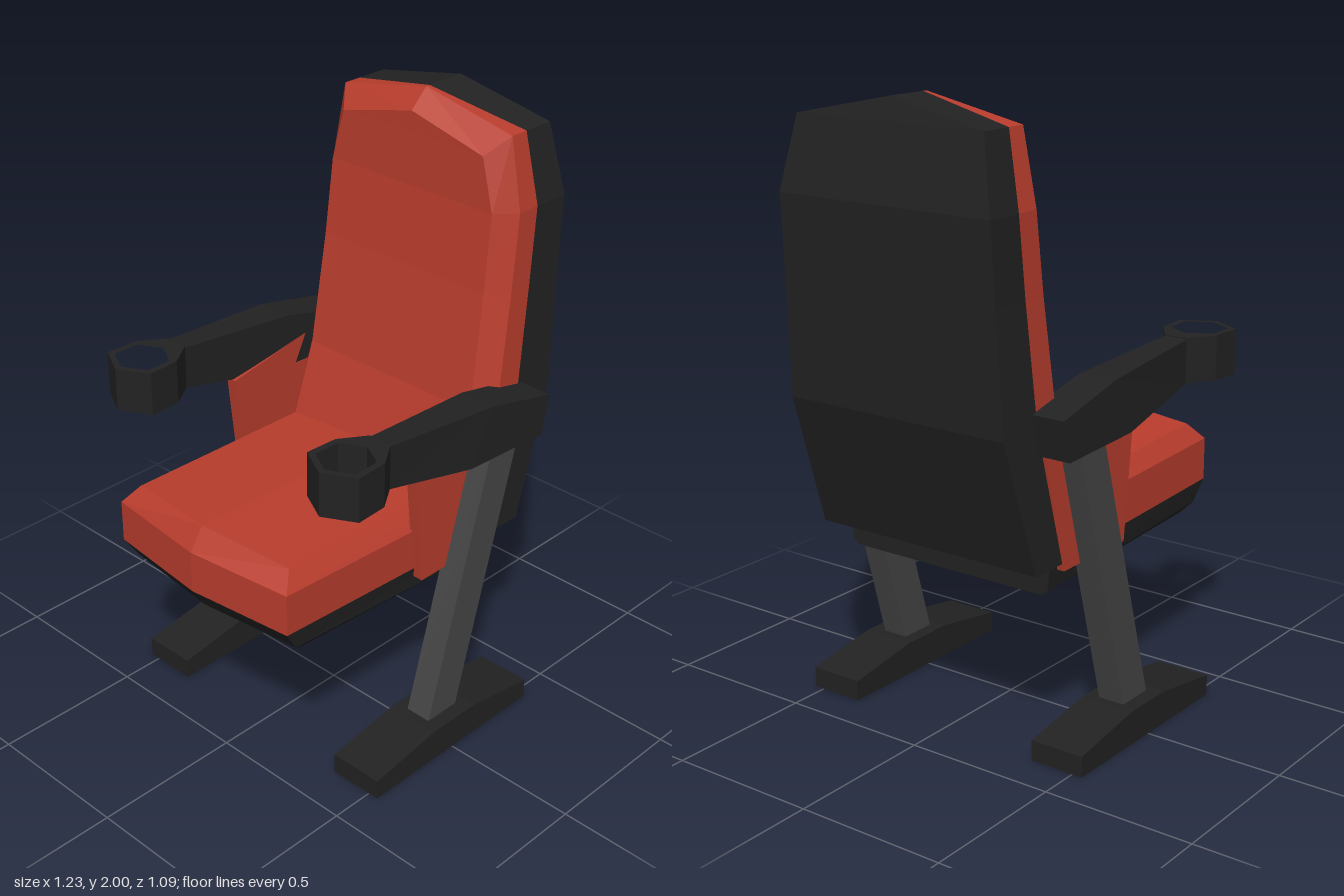
import * as THREE from 'three';

const mat = (name, color) => {
  const m = new THREE.MeshStandardMaterial({ color });
  m.name = name;
  return m;
};

// Skin a list of equal-length rings [[x,y,z],...]; ends are capped in strips
function loft(rings) {
  const n = rings[0].length, tris = [];
  const quad = (a, b, c, d) => tris.push([a, b, c], [a, c, d]);
  for (let j = 0; j < rings.length - 1; j++) {
    for (let i = 0; i < n; i++) {
      const k = (i + 1) % n;
      quad(rings[j][i], rings[j][k], rings[j + 1][k], rings[j + 1][i]);
    }
  }
  const first = rings[0], last = rings[rings.length - 1];
  for (let i = 0; i < n / 2 - 1; i++) {
    quad(first[n - 1 - i], first[n - 2 - i], first[i + 1], first[i]);
    quad(last[i], last[i + 1], last[n - 2 - i], last[n - 1 - i]);
  }
  // turn the faces outward whichever way the rings run
  let volume = 0;
  for (const [a, b, c] of tris) {
    volume += a[0] * (b[1] * c[2] - b[2] * c[1]) + a[1] * (b[2] * c[0] - b[0] * c[2])
      + a[2] * (b[0] * c[1] - b[1] * c[0]);
  }
  if (volume < 0) tris.forEach((t) => t.reverse());
  const g = new THREE.BufferGeometry();
  g.setAttribute('position', new THREE.Float32BufferAttribute(tris.flat(2), 3));
  g.computeVertexNormals();
  return g;
}

// Complete a half ring on +z with its mirror image
const mirrored = (half) => [...half, ...half.map(([x, y, z]) => [x, y, -z]).reverse()];

// Side profile in x,y extruded from z0 to z1
function slab(points, z0, z1) {
  const shape = new THREE.Shape(points.map(([x, y]) => new THREE.Vector2(x, y)));
  const g = new THREE.ExtrudeGeometry(shape, { depth: z1 - z0, bevelEnabled: false });
  return g.translate(0, 0, z0);
}

export function createModel() {
  const red = mat('red upholstery', 0xb93d2d);
  const black = mat('black plastic', 0x222222);
  const grey = mat('grey metal', 0x464646);
  [red, black, grey].forEach((m) => { m.flatShading = true; });

  const model = new THREE.Group();
  model.name = 'auditoriumChair';
  const add = (name, geometry, material, parent = model) => {
    const mesh = new THREE.Mesh(geometry, material);
    mesh.name = name;
    parent.add(mesh);
  };

  // Seat: horizontal rings with a slightly pointed front edge
  const seatRing = (front, back, inset, yFront, yBack, rise = 0) => mirrored([
    [front, yFront + rise, 0],
    [front + 0.04, yFront, 0.37 - inset],
    [back, yBack, 0.39 - inset],
    [back, yBack + rise, 0],
  ]);
  add('seatBase', loft([
    seatRing(-0.53, 0.33, 0.03, 0.557, 0.53),
    seatRing(-0.57, 0.33, 0.01, 0.585, 0.545),
    seatRing(-0.615, 0.33, 0, 0.655, 0.63),
  ]), black);
  const crown = seatRing(-0.565, 0.28, 0, 0.87, 0.845).map(([x, y]) => [x, y, 0]);
  add('seatCushion', loft([
    seatRing(-0.615, 0.28, 0, 0.655, 0.63),
    seatRing(-0.615, 0.28, 0, 0.795, 0.77),
    seatRing(-0.565, 0.28, 0.04, 0.85, 0.825, 0.02),
    crown,
  ]), red);

  // Backrest rows from bottom to peak: y, half width, cushion front, shell front, shell back
  const rows = [
    [0.63, 0.41, 0.11, 0.27, 0.43],
    [1.07, 0.4, 0.25, 0.41, 0.57],
    [1.45, 0.39, 0.305, 0.455, 0.593],
    [1.7, 0.385, 0.333, 0.48, 0.61],
    [1.93, 0.34, 0.335, 0.465, 0.575],
    [2.0, 0, 0.335, 0.415, 0.56],
  ];
  const backRing = (pick) => mirrored(rows.map(pick));
  add('backCushion', loft([
    backRing(([y, w, f]) => [f, y > 1.9 ? y - 0.06 : y, Math.max(0, w - 0.055)]),
    backRing(([y, w, f]) => [f + 0.065, y, w]),
    backRing(([y, w, , s]) => [s, y, w]),
  ]), red);
  add('backShell', loft([
    backRing(([y, w, , s]) => [s, y, w]),
    backRing(([y, w, , , b]) => [b, y, w]),
  ]), black);

  // Parts repeated on both sides
  for (const s of [1, -1]) {
    const side = new THREE.Group();
    side.name = s > 0 ? 'leftSide' : 'rightSide';
    model.add(side);
    const plate = (pts, a, b) => (s > 0 ? slab(pts, a, b) : slab(pts, -b, -a));

    add('foot', plate([[-0.355, 0], [0.365, 0], [0.365, 0.068], [0.1, 0.11],
      [-0.09, 0.11], [-0.355, 0.068]], 0.35, 0.535), black, side);
    add('post', plate([[-0.065, 0.1], [0.065, 0.1], [0.325, 1.03], [0.2, 1.03]],
      0.395, 0.485), grey, side);
    add('sidePanel', plate([[-0.03, 0.605], [0.29, 0.605], [0.41, 1.07],
      [0.3, 1.1], [-0.075, 1.03]], 0.375, 0.412), red, side);

    // Armrest sections: x top, x bottom, y top, y bottom, inner z, outer z
    const sections = [
      [-0.265, -0.265, 1.212, 1.07, 0.4, 0.48],
      [0.17, 0.08, 1.18, 1.0, 0.378, 0.503],
      [0.435, 0.405, 1.12, 0.99, 0.37, 0.51],
    ];
    add('armrest', loft(sections.map(([xt, xb, yt, yb, z0, z1]) => [
      [xt, yt, z0 * s], [xb, yb, z0 * s], [xb, yb, z1 * s], [xt, yt, z1 * s],
    ])), black, side);

    // Open hexagonal cup holder flaring out of the armrest
    const plan = (pts) => pts.map(([x, z]) => new THREE.Vector2(x, z * s));
    const ring = new THREE.Shape(plan([[-0.51, 0.44], [-0.455, 0.337], [-0.345, 0.343],
      [-0.26, 0.4], [-0.26, 0.48], [-0.345, 0.537], [-0.455, 0.543]]));
    ring.holes.push(new THREE.Path(plan([[-0.488, 0.44], [-0.445, 0.36], [-0.356, 0.364],
      [-0.315, 0.44], [-0.356, 0.516], [-0.445, 0.52]])));
    const cup = new THREE.ExtrudeGeometry(ring, { depth: 0.145, bevelEnabled: false });
    add('cupHolder', cup.rotateX(Math.PI / 2).translate(0, 1.216, 0), black, side);
  }
  return model;
}
